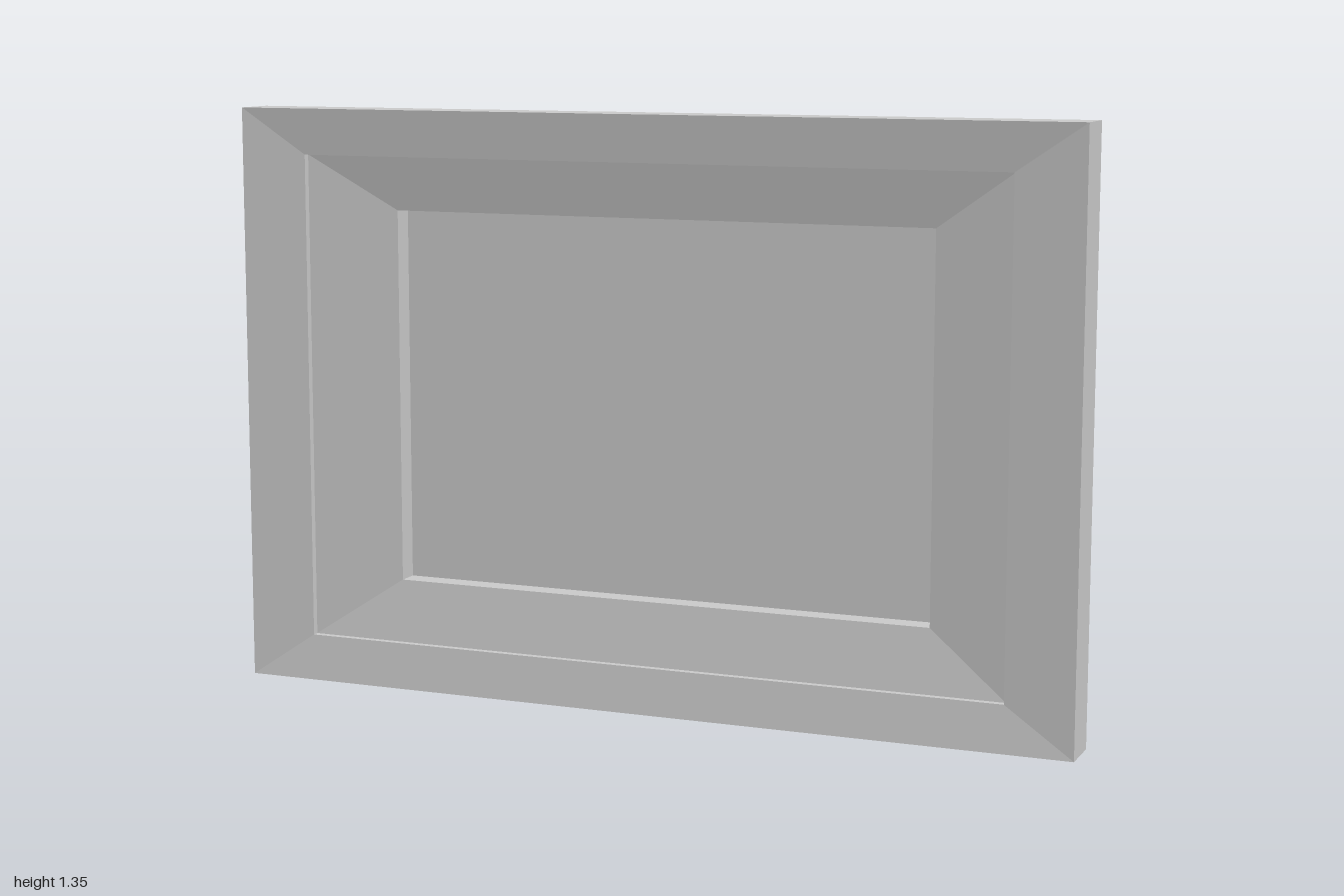
import * as THREE from 'three';
import { toCreasedNormals, mergeGeometries } from 'three/addons/utils/BufferGeometryUtils.js';

const W = 1, H = 0.675; // half width and half height
const OPEN_X = 0.022, OPEN_Y = 0.01; // slight offset of the opening

// Cross-section of the frame: [inset as a fraction of half size, z, share of opening offset]
const PROFILE = [
  [0, 0.072, 0], [0.158, 0.061, 0], [0.158, 0.045, 0], // front border and small step
  [0.3575, 0.026, 1], [0.3575, -0.045, 1], // inner slope and opening wall
  [0.2, -0.042, 0], [0.13, -0.047, 0], // back inner slope
  [0.08, -0.072, 0], [0.06, -0.07, 0], [0.04, -0.064, 0], [0.02, -0.053, 0], [0, -0.037, 0], // rounded moulding
];
const CORNERS = [[1, 1], [-1, 1], [-1, -1], [1, -1]];

function point([inset, z, shift], [sx, sy]) {
  return [
    sx * W * (1 - inset) + shift * OPEN_X,
    H + sy * H * (1 - inset) + shift * OPEN_Y,
    z,
  ];
}

// One mitred side, swept between two neighbouring corners
function sideGeometry(k) {
  const from = CORNERS[k], to = CORNERS[(k + 1) % 4], pos = [];
  PROFILE.forEach((p, i) => {
    const q = PROFILE[(i + 1) % PROFILE.length];
    const a = point(p, from), b = point(p, to), c = point(q, to), d = point(q, from);
    pos.push(...a, ...b, ...c, ...a, ...c, ...d);
  });
  const geo = new THREE.BufferGeometry();
  geo.setAttribute('position', new THREE.Float32BufferAttribute(pos, 3));
  return toCreasedNormals(geo, 0.42);
}

export function createModel() {
  const group = new THREE.Group();
  group.name = 'pictureFrame';
  const material = new THREE.MeshStandardMaterial({ color: 0xcccccc });

  // Mitred frame
  const frame = new THREE.Mesh(mergeGeometries([0, 1, 2, 3].map(sideGeometry)), material);
  frame.name = 'frame';
  group.add(frame);

  // Thin panel held in the opening
  const panel = new THREE.Mesh(new THREE.BoxGeometry(1.3, 0.882, 0.005), material);
  panel.name = 'panel';
  panel.position.set(OPEN_X, H + OPEN_Y, -0.027);
  group.add(panel);

  return group;
}
